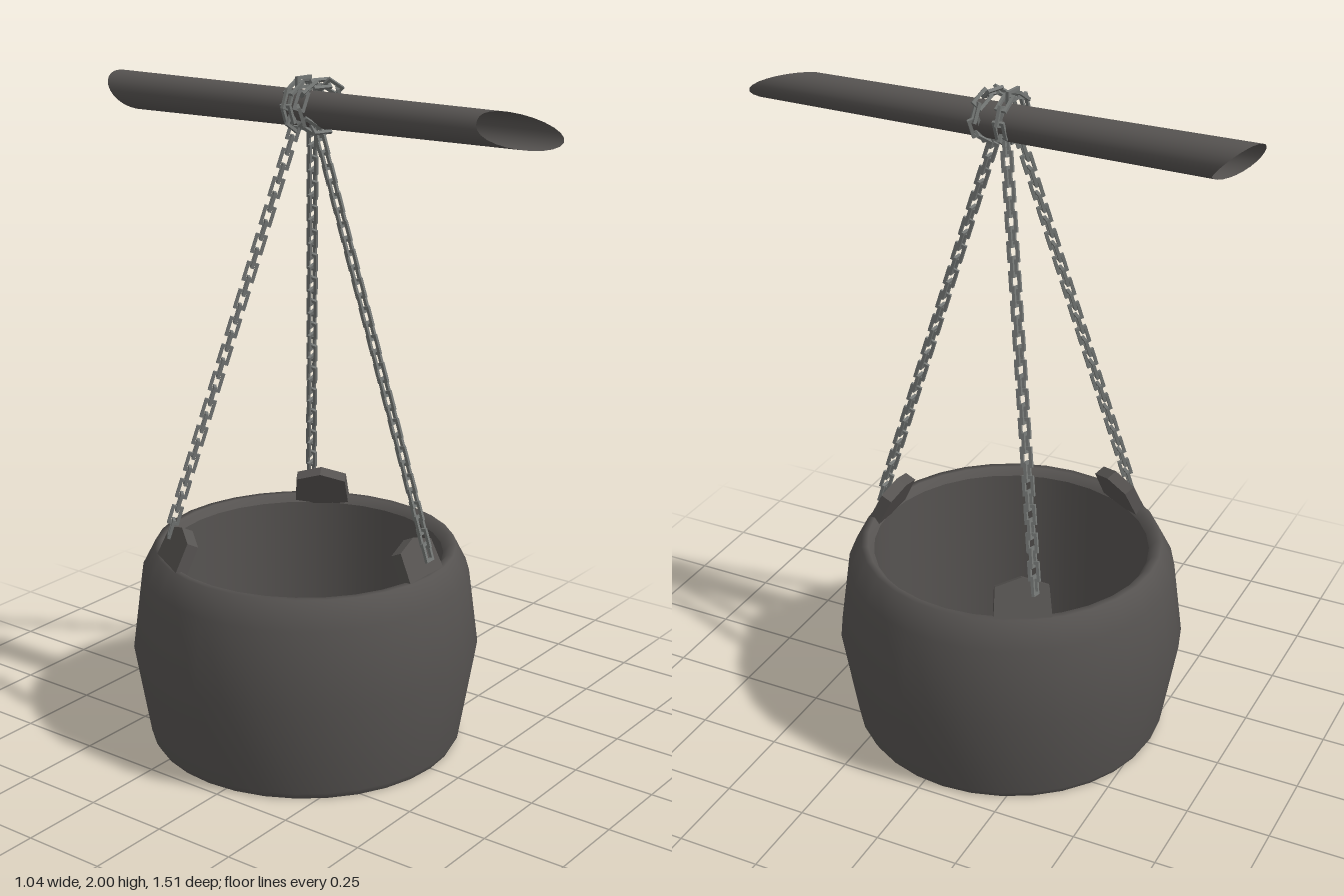
import * as THREE from 'three';

const iron = new THREE.MeshStandardMaterial({ color: 0x565351, side: THREE.DoubleSide });
iron.name = 'darkIron';
const steel = new THREE.MeshStandardMaterial({ color: 0x747775 });
steel.name = 'chainSteel';

const V = (x, y, z) => new THREE.Vector3(x, y, z);
const POT_Z = -0.06;

function mesh(name, geometry, material) {
  const m = new THREE.Mesh(geometry, material);
  m.name = name;
  return m;
}

function lathe(name, points) {
  return mesh(name, new THREE.LatheGeometry(points.map(([r, y]) => new THREE.Vector2(r, y)), 32), iron);
}

// Closed polygon shape from corner pairs
const polygon = (pts) => new THREE.Shape(pts.map(([x, y]) => new THREE.Vector2(x, y)));
const rect = (w, h) => [[-w, -h], [w, -h], [w, h], [-w, h]];

// Rectangular chain link, long axis on y
const WIRE = 0.009, LINK_W = 0.0175, LINK_H = 0.029;
const linkShape = polygon(rect(LINK_W, LINK_H));
linkShape.holes.push(polygon(rect(LINK_W - WIRE, LINK_H - WIRE)));
const linkGeometry = new THREE.ExtrudeGeometry(linkShape, { depth: WIRE, bevelEnabled: false });
linkGeometry.translate(0, 0, -WIRE / 2);

// Links spaced along a curve, each turned a quarter from the last
function chain(name, curve, phase = 0) {
  const group = new THREE.Group();
  group.name = name;
  const count = Math.round(curve.getLength() / 0.041);
  for (let i = 0; i < count; i++) {
    const u = (i + 0.5) / count;
    const t = curve.getTangentAt(u);
    const x = t.clone().cross(V(0, 0, 1)).normalize();
    const z = x.clone().cross(t);
    const link = mesh('link', linkGeometry, steel);
    link.quaternion.setFromRotationMatrix(new THREE.Matrix4().makeBasis(x, t, z));
    link.rotateY(phase + (i % 2) * Math.PI / 2);
    link.position.copy(curve.getPointAt(u));
    group.add(link);
  }
  return group;
}

// Hollow pole with a slanted, pointed cut at each end
function poleGeometry() {
  const front = 0.047, back = 0.055;
  const g = new THREE.CylinderGeometry(front, back, 1, 24, 1, true).rotateX(Math.PI / 2);
  const p = g.attributes.position;
  // 0 at the shortest side of the cut, 1 at its tip
  const reach = (x, y, r, dx, dy) => Math.max(0, (1 + (x * dx + y * dy) / r) / 2);
  for (let i = 0; i < p.count; i++) {
    const x = p.getX(i), y = p.getY(i), isFront = p.getZ(i) > 0;
    const r = isFront ? front : back;
    const z = isFront
      ? 0.54 + 0.215 * reach(x, y, r, 0.89, -0.45) ** 1.3
      : -0.64 - 0.118 * reach(x, y, r, -0.6, 0.8) ** 0.8;
    p.setXYZ(i, x - 0.006, y + 1.957 - r, z);
  }
  return g;
}

export function createModel() {
  const model = new THREE.Group();
  model.name = 'hangingCauldron';

  // Pot, split where the surface has hard edges
  const pot = new THREE.Group();
  pot.name = 'pot';
  pot.position.z = POT_Z;
  pot.add(
    lathe('underside', [[0, 0], [0.462, 0]]),
    lathe('outerWallAndRim', [[0.462, 0], [0.473, 0.02], [0.52, 0.3], [0.49, 0.53],
      [0.45, 0.608], [0.43, 0.608], [0.412, 0.585]]),
    lathe('innerWall', [[0.412, 0.585], [0.412, 0.05]]),
    lathe('floor', [[0.412, 0.05], [0, 0.05]]),
  );

  // Three lugs leaning inward from the rim
  const lugShape = polygon([[-0.085, -0.03], [0.085, -0.03], [0.077, 0.09], [0, 0.115], [-0.077, 0.09]]);
  const lugGeometry = new THREE.ExtrudeGeometry(lugShape, { depth: 0.036, bevelEnabled: false });
  lugGeometry.translate(0, 0, -0.036).rotateX(-0.45).translate(0, 0.608, 0.438);
  for (let i = 0; i < 3; i++) {
    const lug = mesh('lug', lugGeometry, iron);
    lug.rotation.y = i * Math.PI * 2 / 3;
    pot.add(lug);
  }
  model.add(pot);

  model.add(mesh('pole', poleGeometry(), iron));

  // Chains hanging from the pole to the lugs
  model.add(
    chain('frontChain', new THREE.LineCurve3(V(0.022, 0.65, 0.37), V(-0.022, 1.87, 0.0))),
    chain('leftChain', new THREE.LineCurve3(V(0.345, 0.68, -0.3), V(0.025, 1.87, -0.05))),
    chain('rightChain', new THREE.LineCurve3(V(-0.34, 0.68, -0.3), V(-0.05, 1.87, -0.05)), Math.PI / 4),
  );

  // Chain loops wrapped round the pole
  [[-0.05, 0.008], [0.01, 0.022]].forEach(([z, lean], k) => {
    const pts = [];
    for (let i = 0; i < 12; i++) {
      const a = i * Math.PI / 6;
      pts.push(V(-0.016 + 0.066 * Math.cos(a), 1.918 + 0.062 * Math.sin(a), z + lean * Math.cos(a)));
    }
    model.add(chain('poleWrap', new THREE.CatmullRomCurve3(pts, true), k * Math.PI / 4));
  });

  return model;
}
